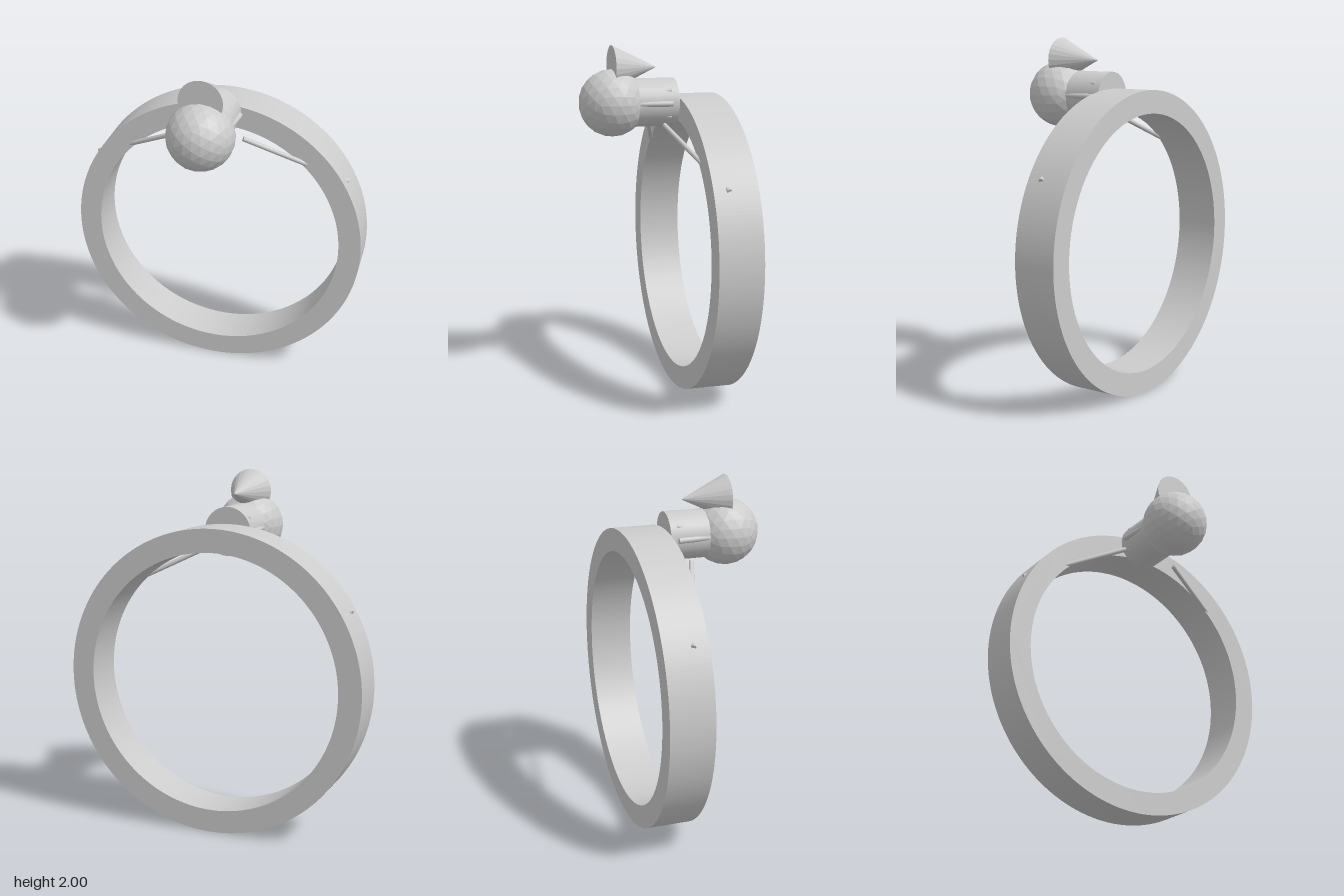
import * as THREE from 'three';

export function createModel() {
  const model = new THREE.Group();
  const material = new THREE.MeshStandardMaterial({ color: 0xcccccc });
  const flat = new THREE.MeshStandardMaterial({ color: 0xcccccc, flatShading: true });

  function add(name, geometry, mat = material) {
    const mesh = new THREE.Mesh(geometry, mat);
    mesh.name = name;
    model.add(mesh);
    return mesh;
  }

  // Round bar between two points
  function rod(name, from, to, radius) {
    const a = new THREE.Vector3(...from);
    const b = new THREE.Vector3(...to);
    const dir = b.clone().sub(a);
    const mesh = add(name, new THREE.CylinderGeometry(radius, radius, dir.length(), 16));
    mesh.position.copy(a).add(b).multiplyScalar(0.5);
    mesh.quaternion.setFromUnitVectors(new THREE.Vector3(0, 1, 0), dir.normalize());
  }

  // Upright ring with a rectangular section
  const outline = new THREE.Shape().absarc(0, 0, 0.86, 0, Math.PI * 2);
  outline.holes.push(new THREE.Path().absarc(0, 0, 0.73, 0, Math.PI * 2, true));
  const ring = new THREE.ExtrudeGeometry(outline, { depth: 0.25, bevelEnabled: false, curveSegments: 128 });
  add('ring', ring).position.set(0, 0.86, -0.4);

  // Neck joining the head to the ring
  const neck = new THREE.CylinderGeometry(0.137, 0.137, 0.25, 32).rotateX(Math.PI / 2);
  add('neck', neck).position.set(0, 1.678, -0.025);

  // Faceted ball head
  add('head', new THREE.IcosahedronGeometry(0.19, 3), flat).position.set(0, 1.68, 0.207);

  // Cone on top of the head, tip pointing back
  const crest = new THREE.ConeGeometry(0.125, 0.26, 24).rotateX(-Math.PI / 2);
  add('crest', crest, flat).position.set(0, 1.877, 0.08);

  for (const side of [1, -1]) {
    const label = side > 0 ? 'left' : 'right';
    // Thin arm running through the ring
    rod(label + 'Arm', [side * 0.175, 1.567, -0.05], [side * 0.75, 1.285, -0.237], 0.014);
    // Three small spines along the neck
    rod(label + 'MiddleSpine', [side * 0.12, 1.68, 0.1], [side * 0.14, 1.68, -0.11], 0.016);
    rod(label + 'UpperSpine', [side * 0.085, 1.735, 0.1], [side * 0.107, 1.751, -0.11], 0.012);
    rod(label + 'LowerSpine', [side * 0.085, 1.621, 0.1], [side * 0.107, 1.605, -0.11], 0.012);
  }

  return model;
}
